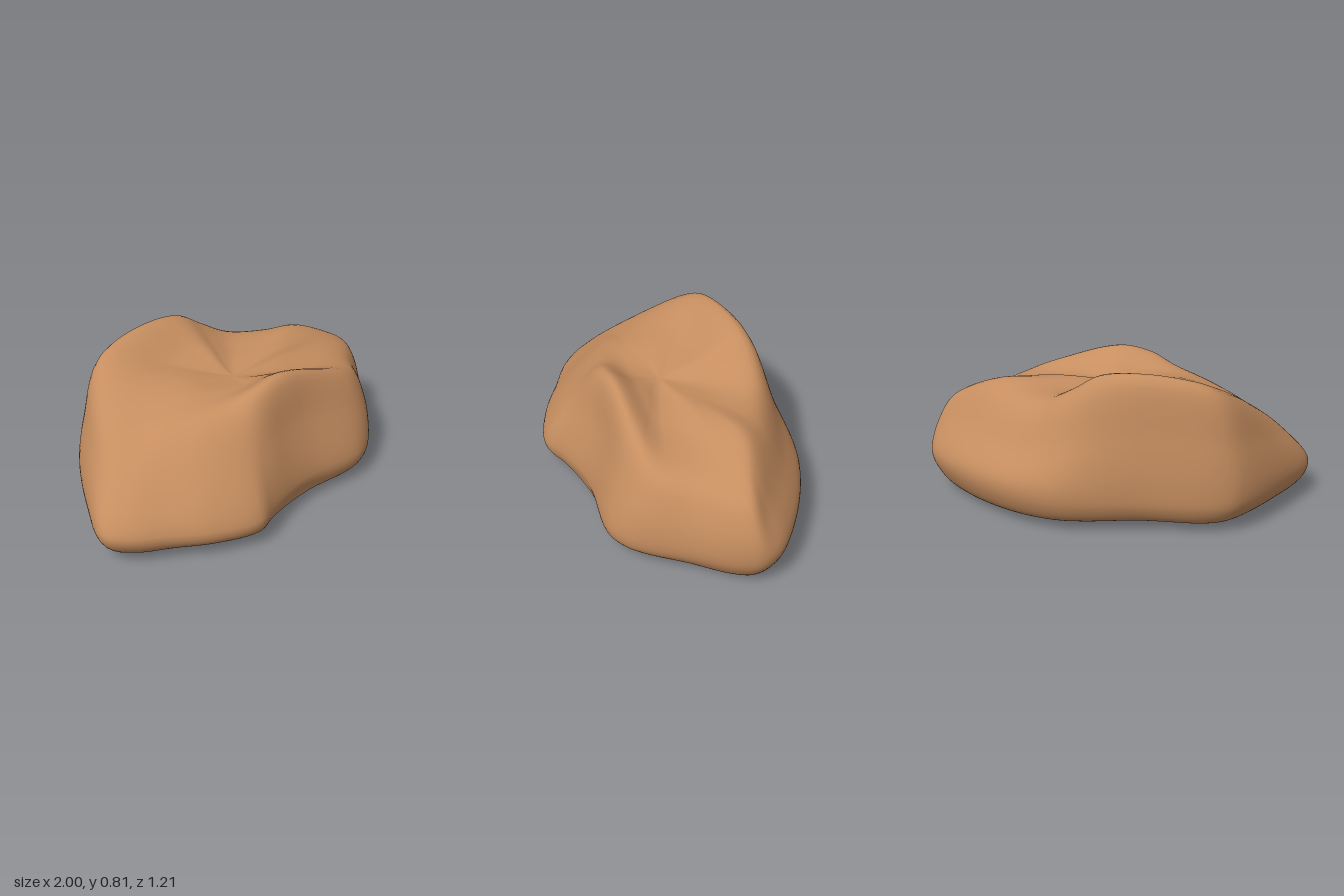
import * as THREE from 'three';
import { mergeVertices } from 'three/addons/utils/BufferGeometryUtils.js';

// Each row runs around the rock: belly x, z | crest x, y, z | height halfway from crest to centre
const RIBS = [
  [1, -0.1, 0.86, 0.5, -0.06, 0.615],
  [0.96, 0, 0.84, 0.49, 0, 0.595],
  [0.8, 0.2, 0.71, 0.5, 0.13, 0.58],
  [0.66, 0.38, 0.61, 0.52, 0.26, 0.58],
  [0.57, 0.46, 0.51, 0.56, 0.31, 0.595],
  [0.45, 0.505, 0.38, 0.61, 0.32, 0.615],
  [0.15, 0.485, 0.15, 0.69, 0.32, 0.64],
  [0, 0.5, 0.02, 0.71, 0.32, 0.64],
  [-0.2, 0.555, -0.13, 0.68, 0.32, 0.63],
  [-0.33, 0.6, -0.25, 0.63, 0.29, 0.625],
  [-0.56, 0.53, -0.42, 0.585, 0.24, 0.625],
  [-0.75, 0.42, -0.55, 0.56, 0.16, 0.63],
  [-0.92, 0.32, -0.66, 0.525, 0.1, 0.635],
  [-1, 0.22, -0.68, 0.56, 0, 0.645],
  [-0.92, -0.02, -0.67, 0.63, -0.15, 0.66],
  [-0.73, -0.36, -0.6, 0.72, -0.32, 0.67],
  [-0.62, -0.43, -0.5, 0.77, -0.38, 0.67],
  [-0.27, -0.5, -0.25, 0.805, -0.42, 0.68],
  [0.05, -0.59, -0.02, 0.78, -0.43, 0.685],
  [0.2, -0.605, 0.13, 0.69, -0.42, 0.65],
  [0.4, -0.57, 0.28, 0.61, -0.37, 0.62],
  [0.63, -0.47, 0.48, 0.59, -0.28, 0.62],
  [0.85, -0.32, 0.6, 0.62, -0.18, 0.63],
  [0.97, -0.2, 0.73, 0.575, -0.12, 0.63],
];

const TOP = new THREE.Vector3(-0.02, 0.61, 0.04);
const BOTTOM = new THREE.Vector3(0, 0.05, 0);

// Control points of one rib, from the hollow on top, over the crest, down to the foot
function ribPoints([bx, bz, cx, cy, cz, iy]) {
  const v = (x, y, z) => new THREE.Vector3(x, y, z);
  const belly = 0.2 - 0.08 * bz;
  // The front is scooped under its crest and fuller at its foot; the underside is gently arched
  const front = bz > 0 ? Math.max(0, 1 - Math.abs(bx - 0.05) / 0.5) : 0;
  const side = 0.52 - 0.02 * front;
  const under = (s) => v(bx * s, 0.05 - 0.01 * bx * s - 0.05 * (bx * s) ** 2, bz * s);
  return [
    v((cx + TOP.x) / 2, iy, (cz + TOP.z) / 2),
    v(cx, cy, cz),
    v((bx + cx) * side, (cy + 0.2) / 2, (bz + cz) * side),
    v(bx, belly, bz),
    v(bx * 0.975, belly / 2 + 0.005, bz * 0.975),
    under(0.87 + 0.09 * front),
    under(0.5),
  ];
}

function rockGeometry(around = 144, down = 56) {
  // Smooth closed rings through the ribs, then a smooth curve down every meridian
  const ribs = RIBS.map(ribPoints);
  const rings = ribs[0].map((_, k) => new THREE.CatmullRomCurve3(ribs.map((r) => r[k]), true));
  const positions = [];
  const index = [];
  for (let i = 0; i < around; i++) {
    // Each meridian starts on the opposite side so that it crosses the top smoothly
    const opposite = rings[0].getPoint((i / around + 0.5) % 1);
    const path = [opposite, TOP, ...rings.map((ring) => ring.getPoint(i / around)), BOTTOM];
    const meridian = new THREE.CatmullRomCurve3(path);
    const start = 1 / (path.length - 1);
    for (let j = 0; j <= down; j++) {
      positions.push(...meridian.getPoint(start + (1 - start) * (j / down)).toArray());
    }
  }
  const at = (i, j) => (i % around) * (down + 1) + j;
  for (let i = 0; i < around; i++) {
    for (let j = 0; j < down; j++) {
      if (j > 0) index.push(at(i, j), at(i + 1, j), at(i, j + 1));
      if (j < down - 1) index.push(at(i + 1, j), at(i + 1, j + 1), at(i, j + 1));
    }
  }
  let geometry = new THREE.BufferGeometry();
  geometry.setAttribute('position', new THREE.Float32BufferAttribute(positions, 3));
  geometry.setIndex(index);
  geometry = mergeVertices(geometry);
  // Rest the lowest point on the ground
  geometry.computeBoundingBox();
  geometry.translate(0, -geometry.boundingBox.min.y, 0);
  geometry.computeVertexNormals();
  return geometry;
}

export function createModel() {
  const group = new THREE.Group();
  group.name = 'boulder';
  const stone = new THREE.MeshStandardMaterial({ color: 0xc68e60 });
  stone.name = 'sandstone';
  const rock = new THREE.Mesh(rockGeometry(), stone);
  rock.name = 'rock';
  group.add(rock);
  return group;
}
